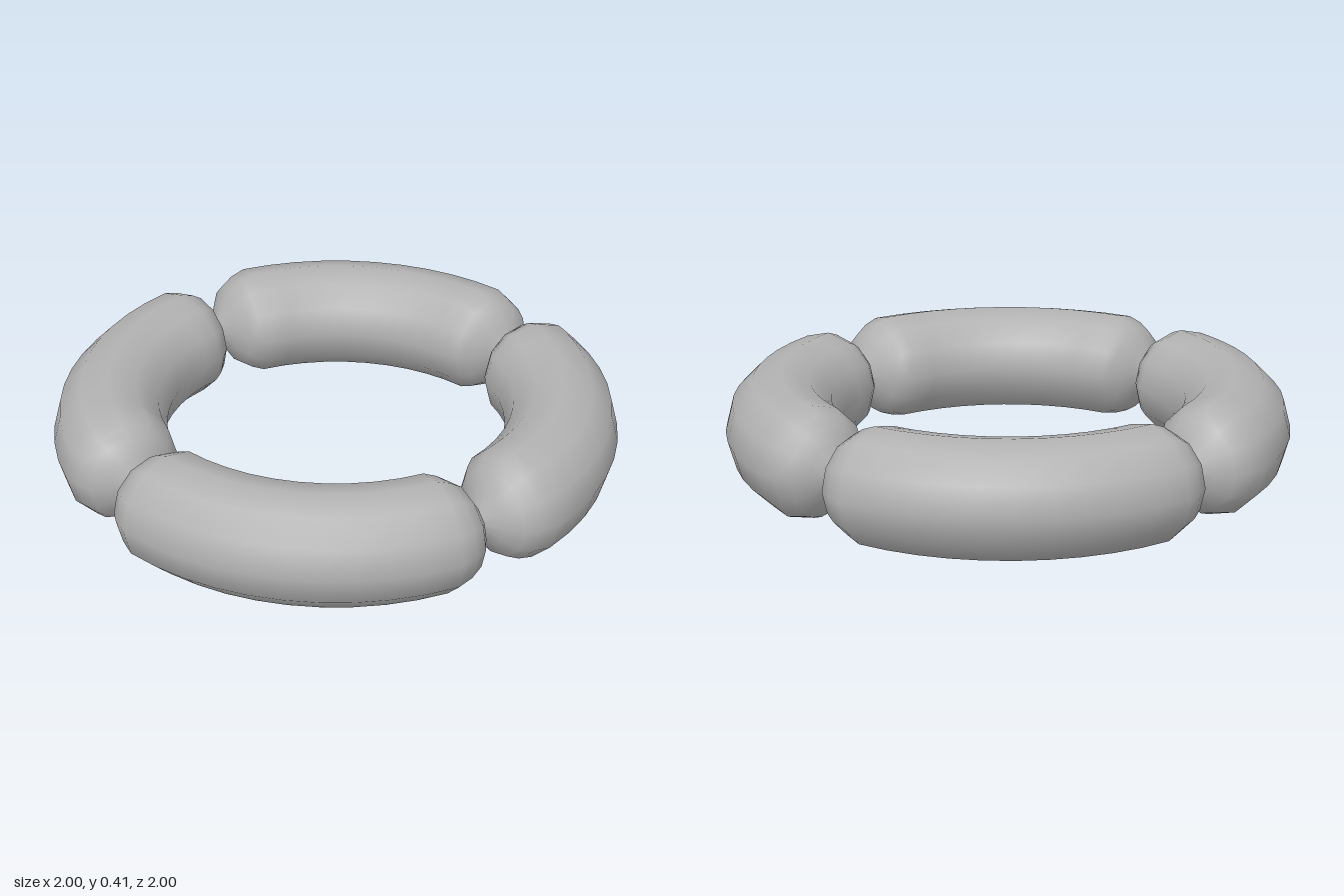
import * as THREE from 'three';

const RING = 0.816; // centre line radius of the ring
const TUBE = 0.203; // full thickness of a link
const SIDES = 12;

// One sausage link: round cross-sections along a quarter circle, tapering to a thin neck at both ends
function linkGeometry() {
  const taper = [[0, 0.035], [2.4, 0.1], [4.9, 0.157], [7.8, 0.184], [11.3, TUBE]]; // degrees, radius
  const rows = [...taper];
  const steps = 10;
  for (let i = 1; i < steps; i++) rows.push([11.3 + (67.4 * i) / steps, TUBE]);
  for (const [deg, r] of [...taper].reverse()) rows.push([90 - deg, r]);

  const pos = [];
  const index = [];
  rows.forEach(([deg, r], i) => {
    const a = THREE.MathUtils.degToRad(deg);
    for (let j = 0; j < SIDES; j++) {
      const p = (j / SIDES) * Math.PI * 2;
      const d = RING + r * Math.cos(p);
      pos.push(d * Math.sin(a), r * Math.sin(p), d * Math.cos(a));
      if (i === rows.length - 1) continue;
      const k = (j + 1) % SIDES;
      const v00 = i * SIDES + j, v01 = i * SIDES + k;
      const v10 = v00 + SIDES, v11 = v01 + SIDES;
      index.push(v00, v10, v11, v00, v11, v01);
    }
  });
  const geo = new THREE.BufferGeometry();
  geo.setAttribute('position', new THREE.Float32BufferAttribute(pos, 3));
  geo.setIndex(index);
  geo.computeVertexNormals();
  return geo;
}

export function createModel() {
  const group = new THREE.Group();
  group.name = 'linkRing';
  const grey = new THREE.MeshStandardMaterial({ color: 0xb2b2b2 });
  grey.name = 'grey';
  const geo = linkGeometry();
  const names = ['frontLeftLink', 'backLeftLink', 'backRightLink', 'frontRightLink'];
  names.forEach((name, i) => {
    const link = new THREE.Mesh(geo, grey);
    link.name = name;
    link.position.y = TUBE;
    link.rotation.y = (i * Math.PI) / 2;
    group.add(link);
  });
  return group;
}
